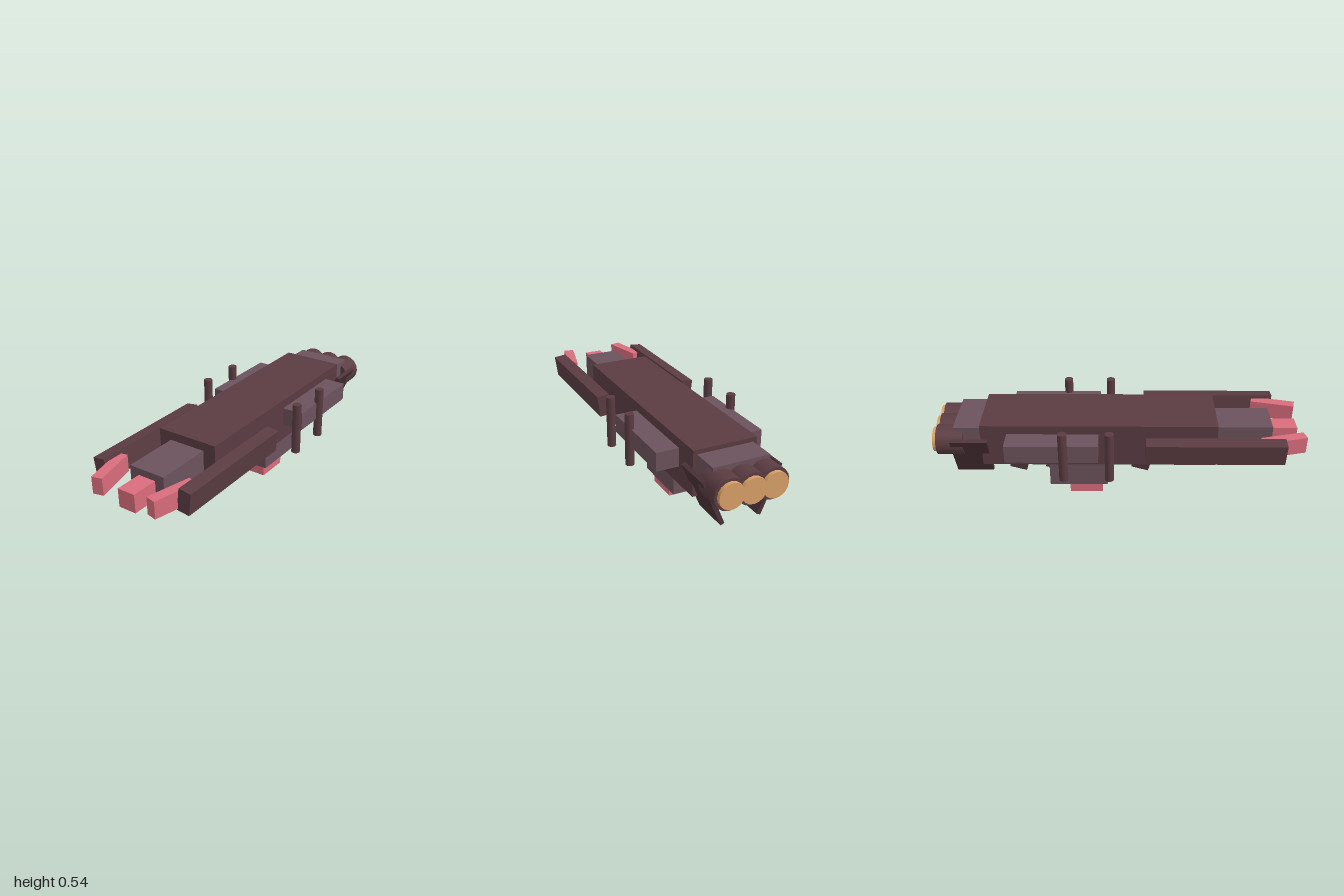
import * as THREE from 'three';

const paint = (color) => new THREE.MeshStandardMaterial({ color });

export function createModel() {
  const model = new THREE.Group();
  model.name = 'spaceship';
  const dark = paint(0x5a3c42);
  const darker = paint(0x4c3238);
  const mauve = paint(0x6b525c);
  const red = paint(0xd96c7c);
  const amber = paint(0xd9a066);

  function add(name, geometry, material, x, y, z) {
    const mesh = new THREE.Mesh(geometry, material);
    mesh.name = name;
    mesh.position.set(x, y, z);
    model.add(mesh);
    return mesh;
  }

  // Box given by its size and centre
  const box = (name, mat, w, h, d, x, y, z) =>
    add(name, new THREE.BoxGeometry(w, h, d), mat, x, y, z);

  // Box symmetric in x, given by its y and z limits
  const block = (name, mat, w, y0, y1, z0, z1) =>
    box(name, mat, w, y1 - y0, z1 - z0, 0, (y0 + y1) / 2, (z0 + z1) / 2);

  // Central body, front to back
  block('noseTip', red, 0.1, 0.328, 0.428, 0.8, 0.975);
  block('nose', mauve, 0.205, 0.292, 0.465, 0.5, 0.83);
  block('hull', dark, 0.346, 0.267, 0.511, -0.74, 0.525);
  block('engineHousing', mauve, 0.305, 0.292, 0.488, -0.885, -0.72);

  // Belly module
  block('bellyModule', mauve, 0.184, 0.073, 0.29, -0.39, -0.065);
  block('bellySensor', red, 0.122, 0, 0.09, -0.28, -0.095);

  // Row of swept fins along the keel
  for (const z of [0.145, -0.1, -0.345, -0.55]) {
    const fin = box('keelFin', darker, 0.037, 0.2, 0.098, 0, 0.228, z);
    fin.rotation.x = 0.28;
  }

  // Mirrored side parts
  for (const s of [1, -1]) {
    box('sidePod', mauve, 0.145, 0.1, 0.49, s * 0.222, 0.412, -0.355);

    const rail = box('sideRail', dark, 0.07, 0.121, 0.735, s * 0.256, 0.41, 0.5075);
    rail.rotation.z = -s * 0.125;

    const prong = box('prong', red, 0.057, 0.093, 0.242, s * 0.1915, 0.409, 0.875);
    prong.rotation.y = -s * 0.235;

    for (const z of [-0.05, -0.293]) {
      add('antennaRod', new THREE.CylinderGeometry(0.024, 0.024, 0.285, 12), dark,
        s * 0.296, 0.3995, z);
    }

    const tail = box('tailFin', darker, 0.022, 0.27, 0.2, s * 0.151, 0.312, -0.8);
    tail.rotation.z = -s * 0.4;
  }

  // Three engines with glowing exhausts
  for (const x of [-0.115, 0, 0.115]) {
    const engine = add('engine', new THREE.CylinderGeometry(0.083, 0.083, 0.145, 16), dark,
      x, 0.392, -0.9075);
    const exhaust = add('exhaust', new THREE.CylinderGeometry(0.068, 0.068, 0.06, 16), amber,
      x, 0.392, -0.97);
    engine.rotation.x = exhaust.rotation.x = Math.PI / 2;
  }

  return model;
}
